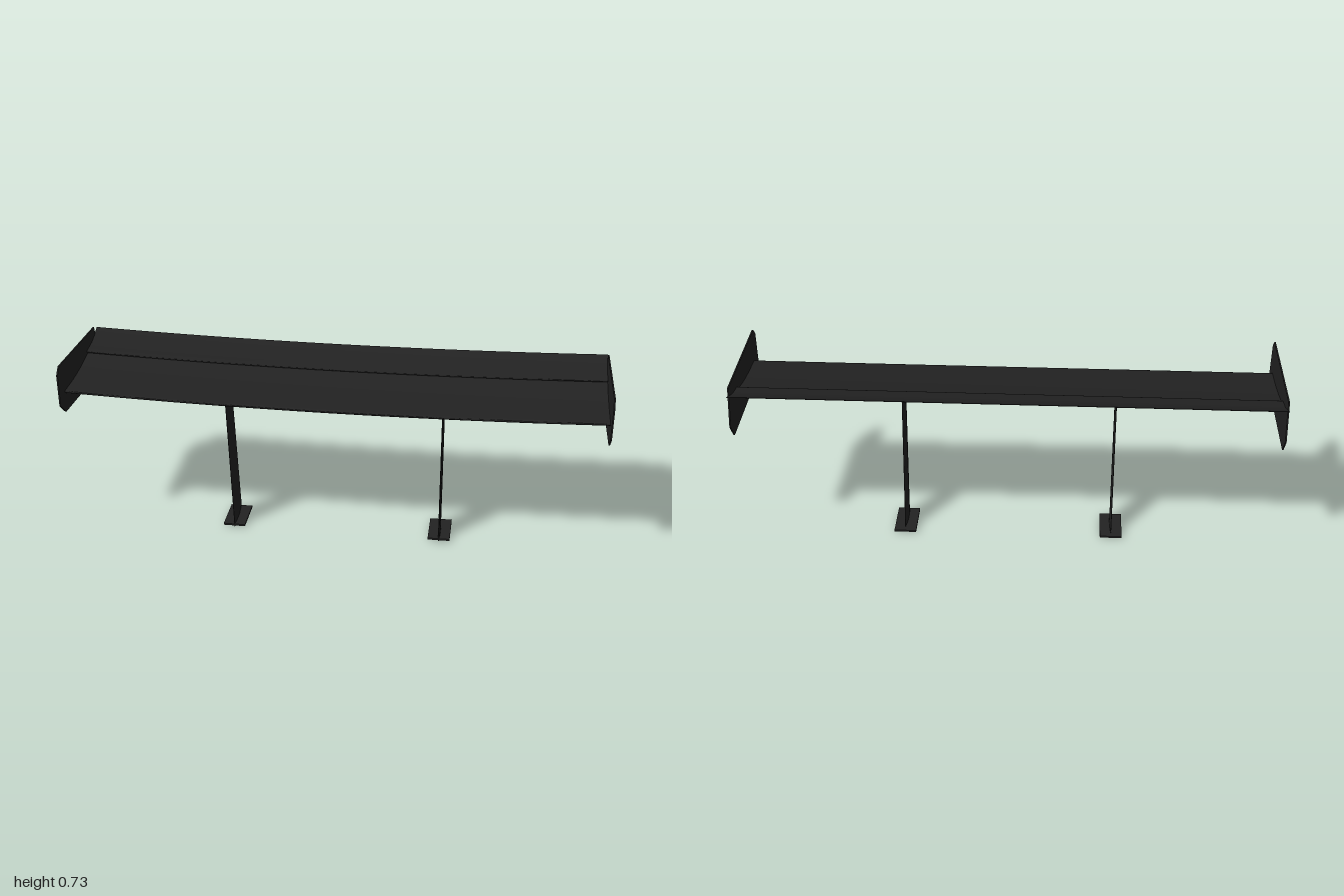
import * as THREE from 'three';
import { toCreasedNormals } from 'three/addons/utils/BufferGeometryUtils.js';

const N = 10; // steps along each side of an aerofoil section

// Sample a smooth 2D curve through a few points
const curve = (pts) => new THREE.SplineCurve(pts.map(([a, b]) => new THREE.Vector2(a, b))).getPoints(N);

// Skin a list of closed rings (one side front to back, other side back to front) and cap both ends
function loft(rings) {
  const n = rings[0].length, last = (rings.length - 1) * n, index = [];
  for (let s = 0; s < rings.length - 1; s++) {
    for (let i = 0; i < n; i++) {
      const a = s * n + i, b = s * n + (i + 1) % n, c = a + n, d = b + n;
      index.push(a, c, b, b, c, d);
    }
  }
  for (let i = 0; i < n / 2 - 1; i++) {
    const a = i, b = i + 1, c = n - 2 - i, d = n - 1 - i;
    index.push(a, b, c, a, c, d);
    index.push(last + a, last + c, last + b, last + a, last + d, last + c);
  }
  const geo = new THREE.BufferGeometry();
  geo.setAttribute('position', new THREE.Float32BufferAttribute(rings.flat(2), 3));
  geo.setIndex(index);
  return toCreasedNormals(geo, 0.7);
}

// Full-span wing element; the tips sweep back and rise slightly. Points are [z, y].
function wingElement(upper, lower) {
  const section = [...curve(upper), ...curve(lower)];
  const rings = [];
  for (let s = 0; s <= 24; s++) {
    const x = -0.997 + (1.994 * s) / 24;
    rings.push(section.map((p) => [x, p.y + 0.01 * x * x, p.x - 0.017 * x * x]));
  }
  return loft(rings);
}

// Streamlined strut, leaning forward and tapering towards the top
function strutGeometry() {
  const half = 0.0045;
  const ends = [
    { front: [0.056, 0.001], back: [-0.08, 0.025] },
    { front: [0.127, 0.591], back: [0.012, 0.606] },
  ];
  const side = curve([[0, 0.12], [0.08, 0.65], [0.35, 1], [0.7, 0.65], [1, 0.08]]);
  const section = [
    ...side.map((p) => [p.x, -p.y * half]),
    ...side.slice().reverse().map((p) => [p.x, p.y * half]),
  ];
  return loft(ends.map(({ front, back }) => section.map(([t, x]) => [
    x,
    THREE.MathUtils.lerp(front[1], back[1], t),
    THREE.MathUtils.lerp(front[0], back[0], t),
  ])));
}

// Endplate outline with clipped corners, centred on its thickness
function endplateGeometry() {
  const outline = [
    [0.24, 0.7], [0.215, 0.727], [-0.2, 0.712], [-0.237, 0.568],
    [-0.2, 0.512], [0.19, 0.531], [0.24, 0.577],
  ];
  const shape = new THREE.Shape(outline.map(([z, y]) => new THREE.Vector2(-z, y)));
  return new THREE.ExtrudeGeometry(shape, { depth: 0.005, bevelEnabled: false })
    .translate(0, 0, -0.0025)
    .rotateY(Math.PI / 2);
}

export function createModel() {
  const group = new THREE.Group();
  const black = new THREE.MeshStandardMaterial({ color: 0x222222 });
  black.name = 'satin black';

  const add = (name, geometry, x = 0, y = 0, z = 0) => {
    const mesh = new THREE.Mesh(geometry, black);
    mesh.name = name;
    mesh.position.set(x, y, z);
    group.add(mesh);
  };

  // Main plane and the steeper flap behind it
  add('mainPlane', wingElement(
    [[0.198, 0.601], [0.185, 0.604], [0.1, 0.606], [0, 0.617], [-0.085, 0.635]],
    [[-0.085, 0.632], [0, 0.604], [0.08, 0.588], [0.15, 0.585], [0.19, 0.591], [0.198, 0.598]],
  ));
  add('flap', wingElement(
    [[-0.076, 0.643], [-0.085, 0.647], [-0.14, 0.655], [-0.19, 0.673], [-0.222, 0.687]],
    [[-0.222, 0.685], [-0.19, 0.666], [-0.14, 0.643], [-0.1, 0.635], [-0.08, 0.637], [-0.076, 0.64]],
  ));

  // Mirrored endplates, struts and mounting feet
  const endplate = endplateGeometry();
  const strut = strutGeometry();
  const foot = new THREE.BoxGeometry(0.085, 0.007, 0.15);
  for (const [side, label] of [[1, 'left'], [-1, 'right']]) {
    add(label + 'Endplate', endplate, side * 0.9975);
    add(label + 'Strut', strut, side * 0.403);
    add(label + 'Foot', foot, side * 0.403, 0.012, -0.013);
  }
  return group;
}
